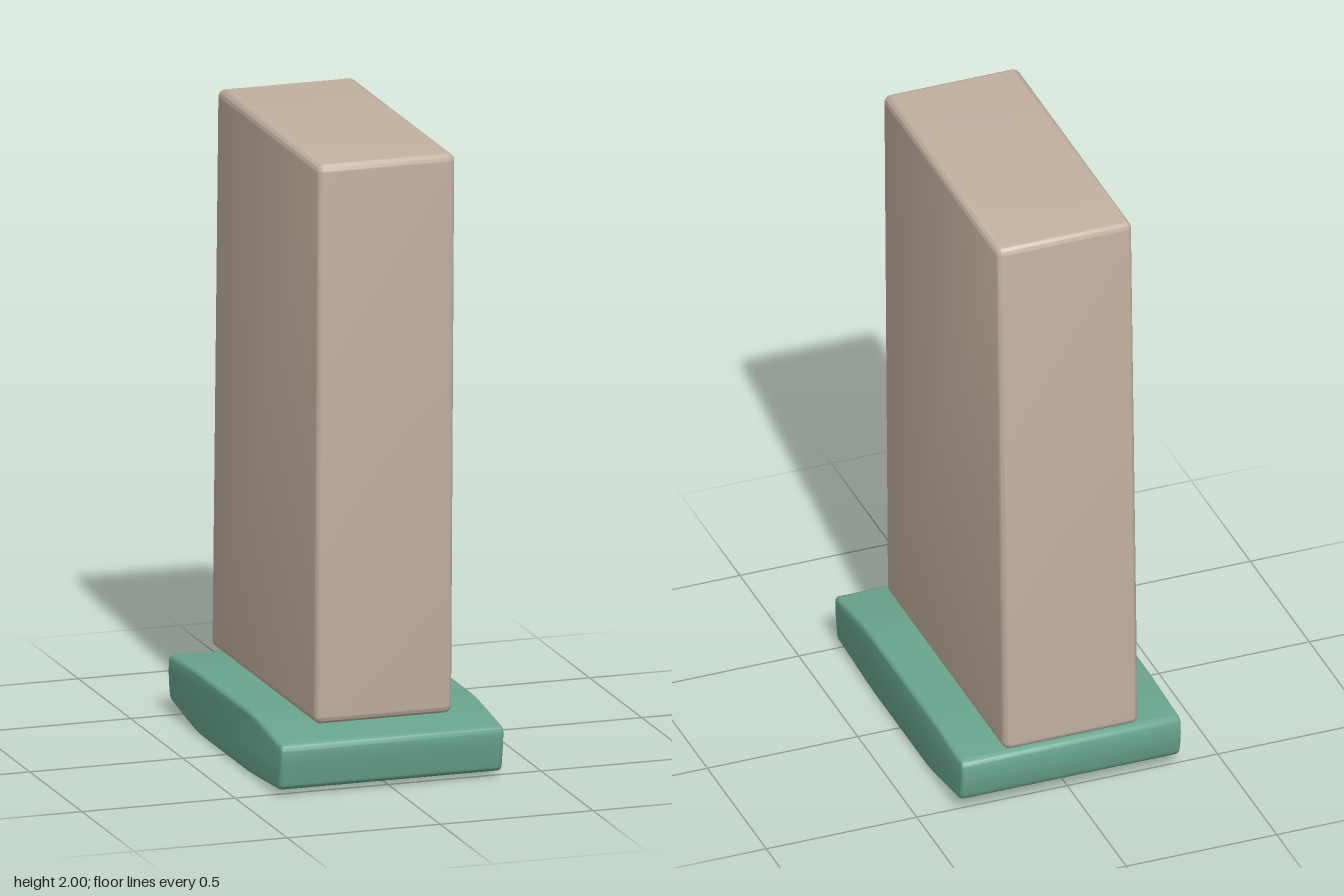
import * as THREE from 'three';
import { toCreasedNormals } from 'three/addons/utils/BufferGeometryUtils.js';
import { RoundedBoxGeometry } from 'three/addons/geometries/RoundedBoxGeometry.js';

const stone = new THREE.MeshStandardMaterial({ color: 0xc2b1a0 });
stone.name = 'warm beige';
const green = new THREE.MeshStandardMaterial({ color: 0x69a58f });
green.name = 'sea green';

// Closed outline whose corners [x, y, radius] are rounded off
function roundedOutline(corners) {
  const shape = new THREE.Shape();
  const n = corners.length;
  corners.forEach(([x, y, r], i) => {
    const p = new THREE.Vector2(x, y);
    const toward = (c) => new THREE.Vector2(c[0], c[1]).sub(p).setLength(r).add(p);
    const a = toward(corners[(i + n - 1) % n]);
    const b = toward(corners[(i + 1) % n]);
    if (i === 0) shape.moveTo(a.x, a.y);
    else shape.lineTo(a.x, a.y);
    shape.quadraticCurveTo(x, y, b.x, b.y);
  });
  shape.closePath();
  return shape;
}

// Tall slab: a rounded box whose front and back lean by height
function makeSlab() {
  const y0 = 0.2, y1 = 2, halfDepth = 0.5;
  const geo = new RoundedBoxGeometry(0.45, y1 - y0, 2 * halfDepth, 5, 0.024);
  geo.translate(0, (y0 + y1) / 2, 0);
  const pos = geo.attributes.position;
  for (let i = 0; i < pos.count; i++) {
    const t = (pos.getY(i) - y0) / (y1 - y0);
    const front = THREE.MathUtils.lerp(0.465, 0.495, t);
    const back = THREE.MathUtils.lerp(-0.542, -0.484, t);
    const s = (pos.getZ(i) + halfDepth) / (2 * halfDepth);
    pos.setZ(i, THREE.MathUtils.lerp(back, front, s));
  }
  const mesh = new THREE.Mesh(toCreasedNormals(geo, 0.7), stone);
  mesh.name = 'slab';
  return mesh;
}

// Base: side profile (first number is -z) extruded across the width
function makeBase() {
  const width = 0.73, bevel = 0.013;
  const shape = roundedOutline([
    [-0.50, 0.017, 0.03],
    [-0.24, 0.001, 0.06],
    [0.26, 0.001, 0.06],
    [0.527, 0.044, 0.025],
    [0.543, 0.12, 0.03],
    [0.538, 0.187, 0.026],
    [0.28, 0.2, 0.06],
    [-0.28, 0.2, 0.06],
    [-0.546, 0.166, 0.022],
    [-0.546, 0.12, 0.02],
    [-0.527, 0.019, 0.025].map((v, i) => (i === 2 ? 0.02 : v)),
  ].filter((c, i) => i !== 0));
  const geo = new THREE.ExtrudeGeometry(shape, {
    depth: width - 2 * bevel,
    curveSegments: 6,
    bevelEnabled: true,
    bevelThickness: bevel,
    bevelSize: bevel,
    bevelOffset: -bevel,
    bevelSegments: 4,
  });
  geo.translate(0, 0, -(width - 2 * bevel) / 2);
  geo.rotateY(Math.PI / 2);
  const mesh = new THREE.Mesh(toCreasedNormals(geo, 0.7), green);
  mesh.name = 'base';
  return mesh;
}

export function createModel() {
  const group = new THREE.Group();
  group.name = 'slabOnBase';
  group.add(makeSlab(), makeBase());
  return group;
}
